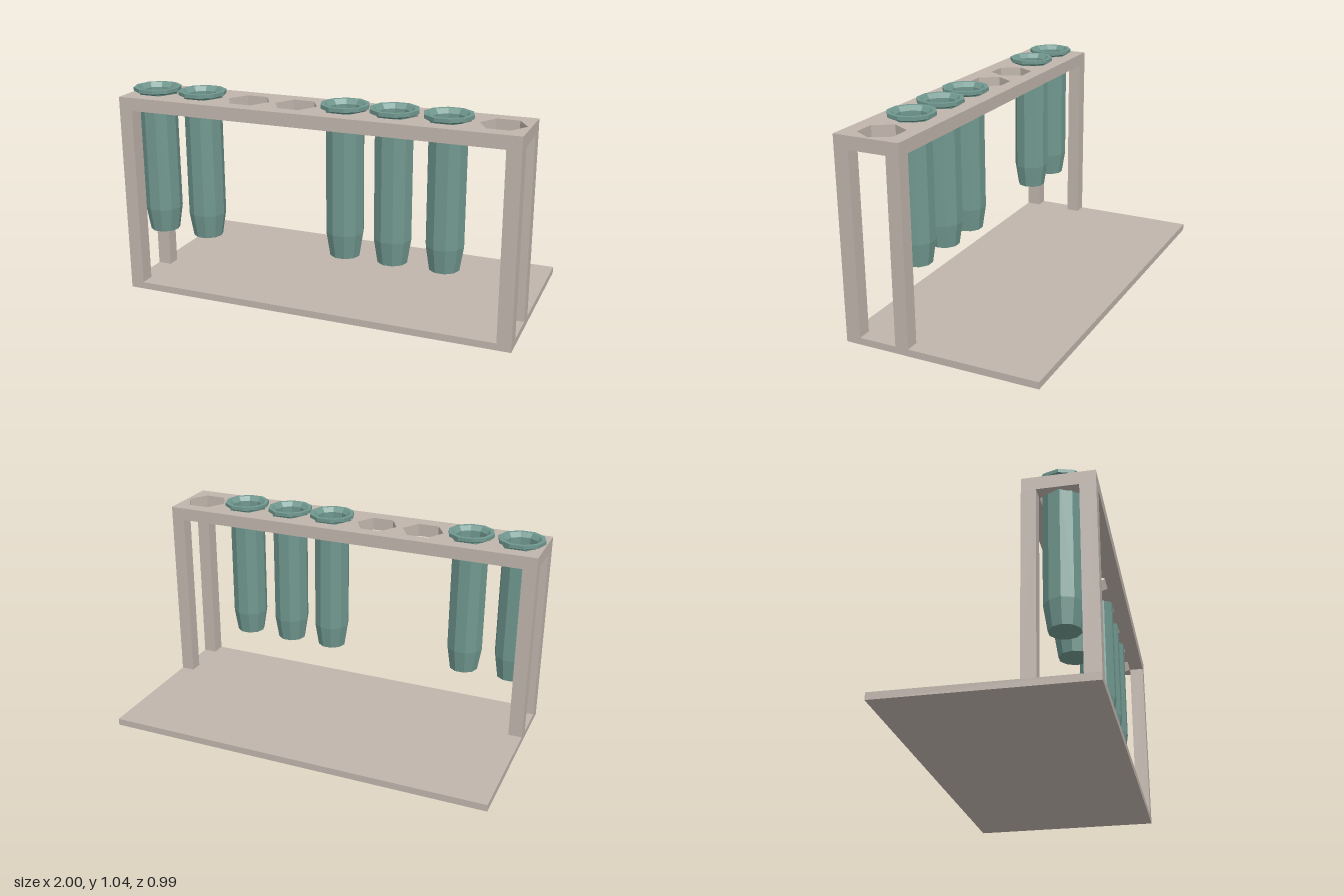
import * as THREE from 'three';

const RACK_Z = 0.3275; // centre line of the rack
const rackMat = new THREE.MeshStandardMaterial({ color: 0xc0b5ac, flatShading: true });
const tubeMat = new THREE.MeshStandardMaterial({ color: 0x70988f, flatShading: true, side: THREE.DoubleSide });

// Box given by its min and max corners
function block(name, [x0, y0, z0], [x1, y1, z1]) {
  const mesh = new THREE.Mesh(new THREE.BoxGeometry(x1 - x0, y1 - y0, z1 - z0), rackMat);
  mesh.position.set((x0 + x1) / 2, (y0 + y1) / 2, (z0 + z1) / 2);
  mesh.name = name;
  return mesh;
}

// Top rail with a row of eight hexagonal holes
function topRail() {
  const shape = new THREE.Shape();
  shape.moveTo(-1, -0.495).lineTo(1, -0.495).lineTo(1, -0.16).lineTo(-1, -0.16).closePath();
  for (let i = 0; i < 8; i++) {
    const hole = [];
    for (let k = 0; k < 6; k++) {
      const a = -k * Math.PI / 3;
      hole.push(new THREE.Vector2(-0.875 + 0.25 * i + 0.108 * Math.cos(a), -0.325 + 0.108 * Math.sin(a)));
    }
    shape.holes.push(new THREE.Path(hole));
  }
  const geo = new THREE.ExtrudeGeometry(shape, { depth: 0.065, bevelEnabled: false });
  geo.rotateX(-Math.PI / 2);
  const mesh = new THREE.Mesh(geo, rackMat);
  mesh.position.y = 0.945;
  mesh.name = 'topRail';
  return mesh;
}

// Ten-sided hollow tube: outside upwards, over the rim, then down the inside
function tubeGeometry() {
  const profile = [
    [0, 0.29], [0.074, 0.29], [0.093, 0.41], [0.093, 1.01],
    [0.118, 1.022], [0.118, 1.04], [0.098, 1.04], [0.08, 1.018],
    [0.08, 0.42], [0.061, 0.305], [0, 0.305],
  ].map(([r, y]) => new THREE.Vector2(r, y));
  return new THREE.LatheGeometry(profile, 10, Math.PI / 2);
}

export function createModel() {
  const model = new THREE.Group();
  model.name = 'tubeRack';

  // Frame
  model.add(block('basePlate', [-1, 0, -0.495], [1, 0.035, 0.495]));
  model.add(topRail());
  for (const [side, x0] of [['right', -1], ['left', 0.93]]) {
    model.add(block(side + 'FrontPost', [x0, 0.035, 0.42], [x0 + 0.07, 0.945, 0.495]));
    model.add(block(side + 'BackPost', [x0, 0.035, 0.16], [x0 + 0.07, 0.945, 0.228]));
  }

  // Tubes, with three holes left empty
  const geo = tubeGeometry();
  [-0.882, -0.627, 0.127, 0.37, 0.627].forEach((x, i) => {
    const tube = new THREE.Mesh(geo, tubeMat);
    tube.position.set(x, 0, RACK_Z);
    tube.name = 'tube' + (i + 1);
    model.add(tube);
  });
  return model;
}
